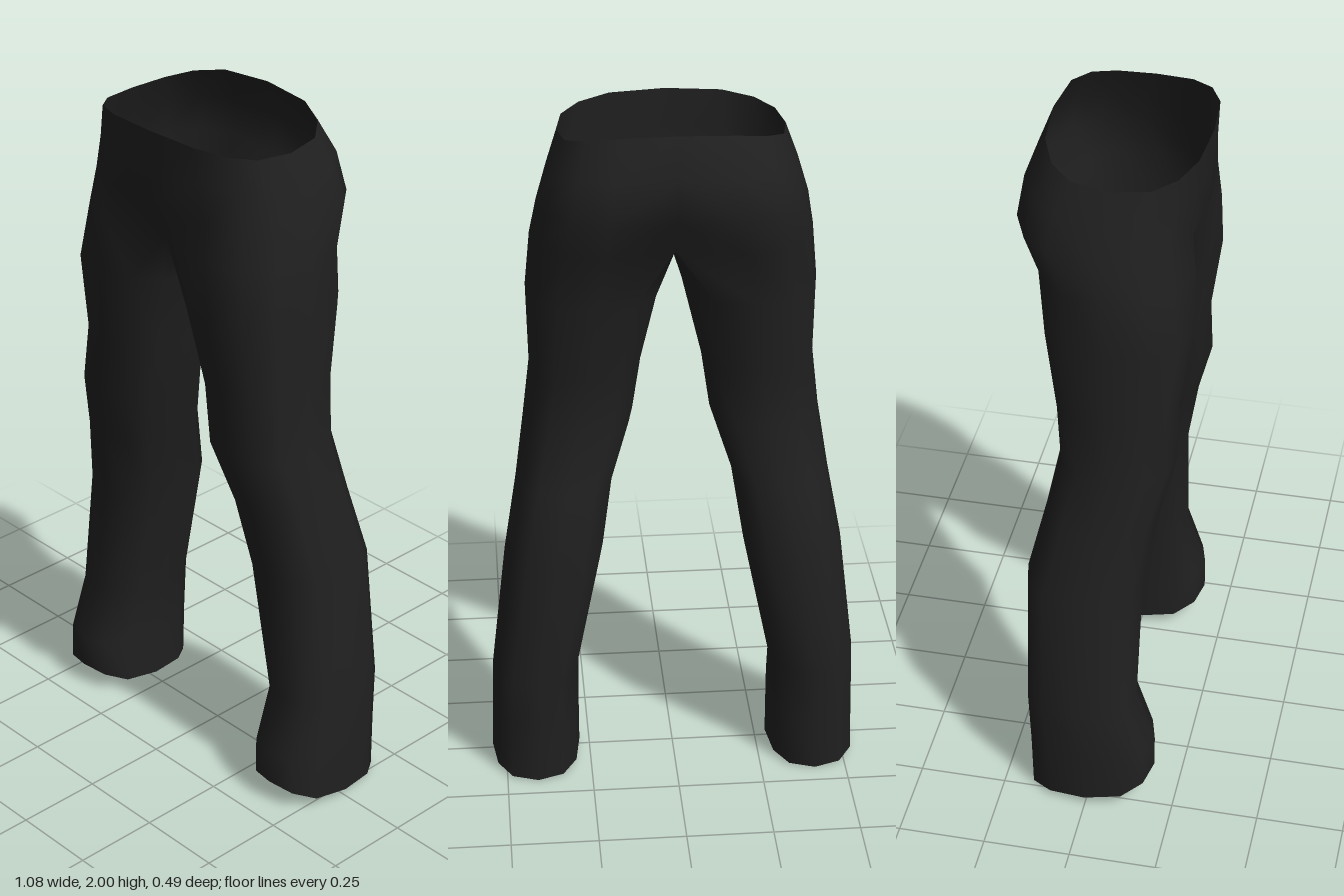
import * as THREE from 'three';
import { mergeVertices } from 'three/addons/utils/BufferGeometryUtils.js';

const power = (v, e) => Math.sign(v) * Math.pow(Math.abs(v), e);
const rad = THREE.MathUtils.degToRad;

// Half ring of the hips: front centre, round the side, to back centre (9 points)
function hipRing({ y, x, front, back, tuckF = 1, tuckB = 1, riseF = 0, riseB = 0 }) {
  const ring = [];
  const cz = (front + back) / 2, depth = (front - back) / 2;
  for (let k = 0; k <= 8; k++) {
    const a = rad(90 - k * 22.5), s = Math.sin(a);
    const tuck = k === 0 ? tuckF : k === 8 ? tuckB : 1;
    const px = k % 8 ? x * power(Math.cos(a), 0.72) : 0;
    const pz = (cz + depth * power(s, 0.75)) * tuck;
    ring.push([px, y + s * s * (s > 0 ? riseF : riseB), pz]);
  }
  return ring;
}

// Full ring of a leg (12 points); points 0 to 8 continue the hip columns
function legRing([y, xIn, xOut, front, back], hem = false) {
  const ring = [];
  for (let k = 0; k < 12; k++) {
    const a = rad(120 - k * 30), s = Math.sin(a);
    ring.push([
      (xIn + xOut) / 2 + (xOut - xIn) / 2 * power(Math.cos(a), 0.8),
      hem ? y + s * s * (s > 0 ? 0.05 : -0.02) : y,
      (front + back) / 2 + (front - back) / 2 * power(s, 0.8),
    ]);
  }
  return ring;
}

function createTrousersGeometry() {
  const hips = [
    { y: 1.95, x: 0.31, front: 0.245, back: -0.185, riseF: 0.03, riseB: 0.05 },
    { y: 1.87, x: 0.34, front: 0.24, back: -0.24, tuckB: 0.95, riseB: 0.02 },
    { y: 1.77, x: 0.37, front: 0.24, back: -0.26, tuckB: 0.86 },
    { y: 1.66, x: 0.39, front: 0.25, back: -0.205, tuckF: 0.76, tuckB: 0.7 },
  ].map(hipRing);

  // Crotch seam closes the last hip ring on the centre line
  const crotch = hips[3];
  crotch.push([0, 1.62, -0.07], [0, 1.6, 0.02], [0, 1.62, 0.11]);

  const legs = [
    [1.5, 0.03, 0.405, 0.24, -0.165],
    [1.27, 0.085, 0.4, 0.207, -0.13],
    [1.1, 0.11, 0.42, 0.21, -0.115],
    [0.92, 0.17, 0.447, 0.165, -0.15],
    [0.71, 0.203, 0.485, 0.13, -0.2],
    [0.33, 0.28, 0.53, 0.125, -0.195],
    [0.17, 0.28, 0.535, 0.18, -0.19],
  ].map((r) => legRing(r));
  legs.push(legRing([0.02, 0.28, 0.54, 0.18, -0.185], true));

  const rings = [...hips, ...legs];
  const positions = [];
  const triangle = (a, b, c, side) => {
    for (const p of side > 0 ? [a, b, c] : [a, c, b]) positions.push(p[0] * side, p[1], p[2]);
  };
  // Skin between neighbouring rings, mirrored for the other half
  for (const side of [1, -1]) {
    for (let i = 0; i < rings.length - 1; i++) {
      const up = rings[i], low = rings[i + 1];
      const columns = i < 3 ? 8 : 12;
      for (let k = 0; k < columns; k++) {
        const n = columns === 8 ? k + 1 : (k + 1) % 12;
        triangle(low[k], low[n], up[n], side);
        triangle(low[k], up[n], up[k], side);
      }
    }
  }
  let geometry = new THREE.BufferGeometry();
  geometry.setAttribute('position', new THREE.Float32BufferAttribute(positions, 3));
  geometry = mergeVertices(geometry, 1e-4);
  geometry.computeVertexNormals();
  return geometry;
}

export function createModel() {
  const group = new THREE.Group();
  group.name = 'trousers';
  const cloth = new THREE.MeshStandardMaterial({ color: 0x202020, side: THREE.DoubleSide });
  cloth.name = 'black cloth';
  // One open shell: waist and both hems stay open
  const shell = new THREE.Mesh(createTrousersGeometry(), cloth);
  shell.name = 'trouserCloth';
  group.add(shell);
  return group;
}
